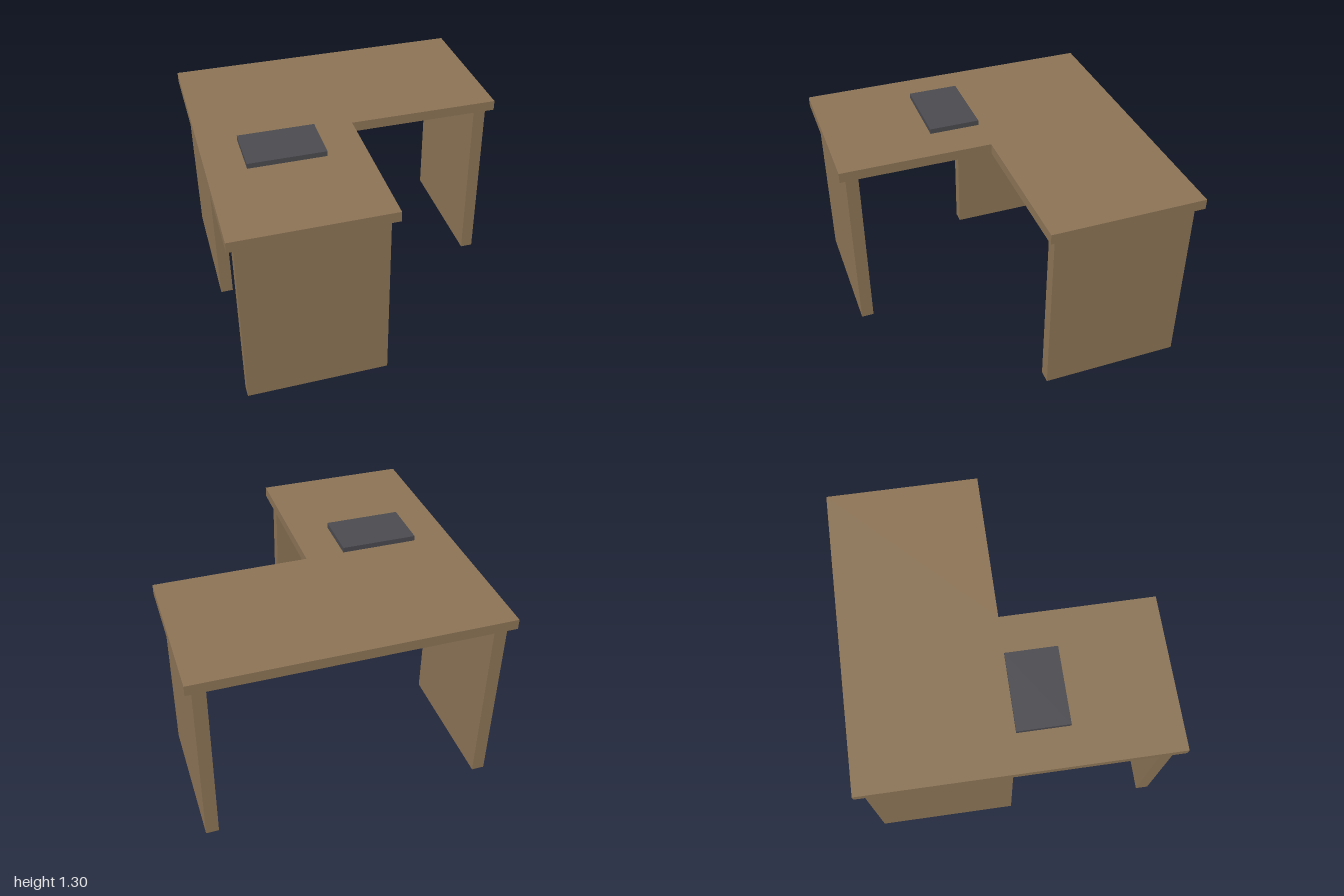
import * as THREE from 'three';

export function createModel() {
  const group = new THREE.Group();
  const wood = new THREE.MeshStandardMaterial({ color: 0x8b7355 });
  const dark = new THREE.MeshStandardMaterial({ color: 0x4a4a4f });

  const legHeight = 1.2, topThickness = 0.067;
  const panelThickness = 0.083, panelWidth = 0.914;
  const panelOffset = 0.916; // centre of a panel, set in from the rim

  function addBox(name, material, size, position) {
    const mesh = new THREE.Mesh(new THREE.BoxGeometry(...size), material);
    mesh.name = name;
    mesh.position.set(...position);
    group.add(mesh);
  }

  // L-shaped desktop, open corner at front left
  const outline = new THREE.Shape(
    [[-1, -1], [0, -1], [0, 0], [1, 0], [1, 1], [-1, 1]].map(([x, y]) => new THREE.Vector2(x, y))
  );
  const topGeometry = new THREE.ExtrudeGeometry(outline, { depth: topThickness, bevelEnabled: false });
  topGeometry.rotateX(-Math.PI / 2);
  const desktop = new THREE.Mesh(topGeometry, wood);
  desktop.name = 'desktop';
  desktop.position.y = legHeight;
  group.add(desktop);

  // Side panels under the rear wing
  for (const [name, side] of [['leftPanel', 1], ['rightPanel', -1]]) {
    addBox(name, wood, [panelThickness, legHeight, panelWidth], [side * panelOffset, legHeight / 2, -0.5]);
  }

  // Panel under the end of the front wing
  addBox('frontPanel', wood, [panelWidth, legHeight, panelThickness], [-0.5, legHeight / 2, panelOffset]);

  // Flat pad lying on the desktop
  addBox('deskPad', dark, [0.5, 0.034, 0.333], [-0.503, legHeight + topThickness + 0.017, 0.167]);

  // Short post hanging just below the desktop
  addBox('post', dark, [0.065, 0.333, 0.065], [-0.748, 1.003, 0.417]);

  return group;
}
